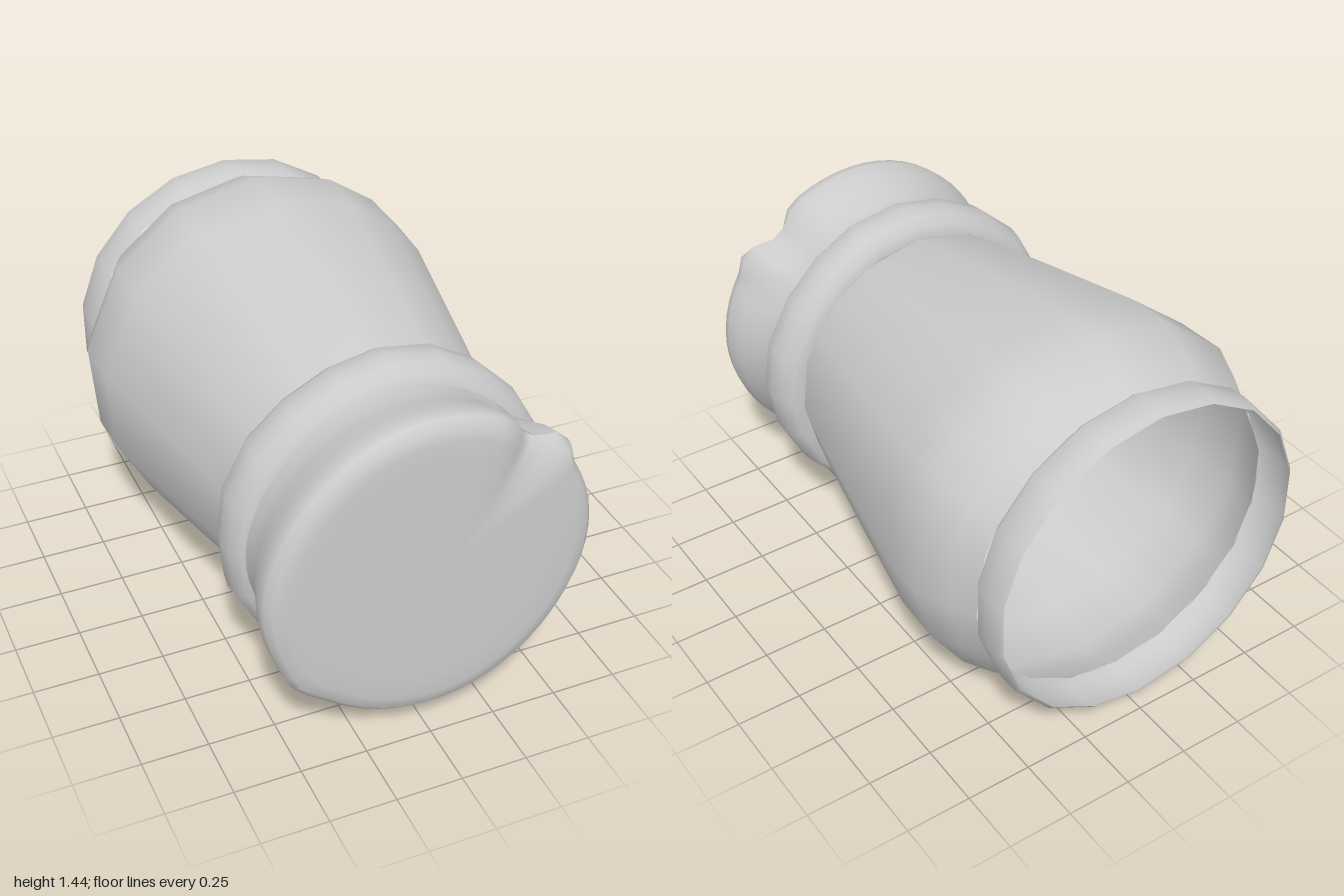
import * as THREE from 'three';

const material = new THREE.MeshStandardMaterial({ color: 0xcccccc, side: THREE.DoubleSide });
const AXIS_Y = 0.72;

const evenAngles = (n, start = 0) => Array.from({ length: n }, (_, i) => start + (i * 360) / n);

// Skins rings [z, radius] (ordered back to front) around the z axis; offset(deg, z) bends the radius.
function loft(name, profile, angles, offset = () => 0) {
  const n = angles.length, positions = [], indices = [];
  for (const [z, r] of profile) {
    for (const deg of angles) {
      const a = THREE.MathUtils.degToRad(deg);
      const radius = r + offset(deg, z) * Math.min(1, r / 0.5) ** 4;
      positions.push(Math.cos(a) * radius, AXIS_Y + Math.sin(a) * radius, z);
    }
  }
  for (let i = 0; i < profile.length - 1; i++) {
    for (let j = 0; j < n; j++) {
      const a = i * n + j, b = i * n + ((j + 1) % n);
      indices.push(a, b, a + n, b, b + n, a + n);
    }
  }
  const geometry = new THREE.BufferGeometry();
  geometry.setAttribute('position', new THREE.Float32BufferAttribute(positions, 3));
  geometry.setIndex(indices);
  geometry.computeVertexNormals();
  const mesh = new THREE.Mesh(geometry, material);
  mesh.name = name;
  return mesh;
}

const wave = (deg, k, phase) => Math.sin(THREE.MathUtils.degToRad(deg * k + phase));
const bump = (deg, centre, width) => Math.exp(-(((deg - centre) / width) ** 2));

export function createModel() {
  const group = new THREE.Group();
  group.name = 'jar';

  // Hollow tapered body with unevenly spaced sides
  const bodyAngles = [-62, -43, -24, -4, 19, 32, 47, 64.5, 90, 116, 142, 171, 198, 219, 245, 270];
  group.add(loft('body', [
    [0.46, 0.53], [0.3, 0.567], [0, 0.628], [-0.43, 0.712], [-0.63, 0.72], [-0.76, 0.668], [-0.85, 0.618],
  ].reverse(), bodyAngles));

  // Open rim at the back
  group.add(loft('rim', [
    [-1, 0.62], [-0.985, 0.635], [-0.93, 0.638], [-0.87, 0.633], [-0.845, 0.612],
  ], evenAngles(18, 10)));

  // Rounded collar around the narrow end
  group.add(loft('collar', [
    [0.455, 0.53], [0.462, 0.575], [0.5, 0.602], [0.56, 0.611], [0.62, 0.604], [0.655, 0.575], [0.67, 0.54],
  ], evenAngles(20, 0), (deg) => 0.006 * wave(deg, 5, 40) + 0.014 * bump(deg, 198, 14)));

  // Closed front cap with a softly uneven edge and one pinched fold
  const fold = (deg, z) => {
    const strength = THREE.MathUtils.smoothstep(z, 0.66, 0.9);
    return strength * (0.04 * bump(deg, 39, 5) - 0.045 * bump(deg, 51, 7) + 0.02 * bump(deg, 216, 8))
      + 0.005 * wave(deg, 4, 60);
  };
  const cap = loft('cap', [
    [0.66, 0.545], [0.72, 0.545], [0.79, 0.562], [0.87, 0.592], [0.93, 0.605], [0.965, 0.6],
    [0.99, 0.575], [0.999, 0.53], [1, 0.46], [1, 0.3], [1, 0],
  ], evenAngles(60), fold);
  cap.position.x = -0.008;

  // Shallow dent running from the fold onto the front face
  const p = cap.geometry.attributes.position;
  for (let i = 0; i < p.count; i++) {
    const x = p.getX(i), y = p.getY(i) - AXIS_Y, r = Math.hypot(x, y);
    if (p.getZ(i) < 0.96) continue;
    const deg = THREE.MathUtils.radToDeg(Math.atan2(y, x));
    p.setZ(i, p.getZ(i) - 0.05 * bump(deg, 48, 8) * THREE.MathUtils.smoothstep(r, 0.32, 0.55));
  }
  cap.geometry.computeVertexNormals();
  group.add(cap);

  return group;
}
